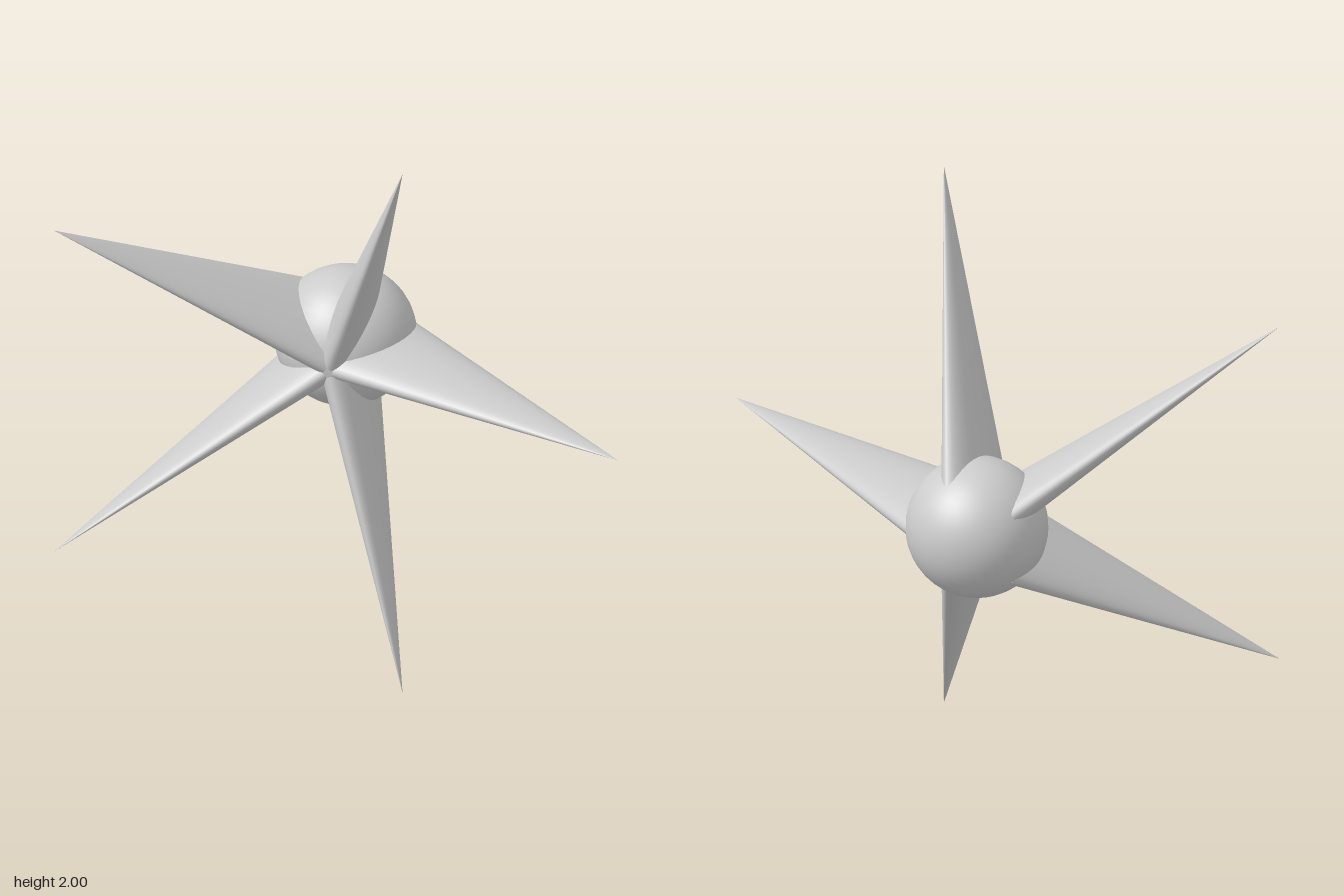
import * as THREE from 'three';

const SPIKES = 5;
const TIP_RADIUS = 1 / Math.sin(Math.PI * 0.4); // puts the highest and lowest tips at y = 2 and y = 0
const TIP_Z = 0.4;
const BASE_R = 0.11, BASE_Z = -0.095;           // centre of each spike's base, relative to the hub axis
const HALF_WIDTH = 0.207, HALF_THICKNESS = 0.066;

// Flattened cone leaning outward and forward, thin across the star plane
function spikeGeometry() {
  const dr = TIP_RADIUS - BASE_R, dz = TIP_Z - BASE_Z;
  return new THREE.ConeGeometry(1, 1, 40, 4)
    .translate(0, 0.5, 0)
    .scale(HALF_WIDTH, Math.hypot(dr, dz), HALF_THICKNESS)
    .rotateZ(-Math.PI / 2)
    .rotateX(Math.PI / 2)
    .rotateY(-Math.atan2(dz, dr))
    .translate(BASE_R, 0, BASE_Z);
}

export function createModel() {
  const model = new THREE.Group();
  model.name = 'spikedStar';
  const material = new THREE.MeshStandardMaterial({ color: 0xcccccc });

  // Everything is arranged around the hub axis, offset so the tips are centred on x
  const star = new THREE.Group();
  star.name = 'star';
  star.position.set(-TIP_RADIUS * (1 - Math.cos(Math.PI / 5)) / 2, 1, 0);
  model.add(star);

  // Round hub behind the spikes
  const hub = new THREE.Mesh(new THREE.SphereGeometry(0.235, 40, 24), material);
  hub.name = 'hub';
  hub.position.z = -0.165;
  star.add(hub);

  // Ring of five spikes
  const geometry = spikeGeometry();
  for (let i = 0; i < SPIKES; i++) {
    const spike = new THREE.Mesh(geometry, material);
    spike.name = `spike${i + 1}`;
    spike.rotation.z = (i * 2 * Math.PI) / SPIKES;
    star.add(spike);
  }
  return model;
}
